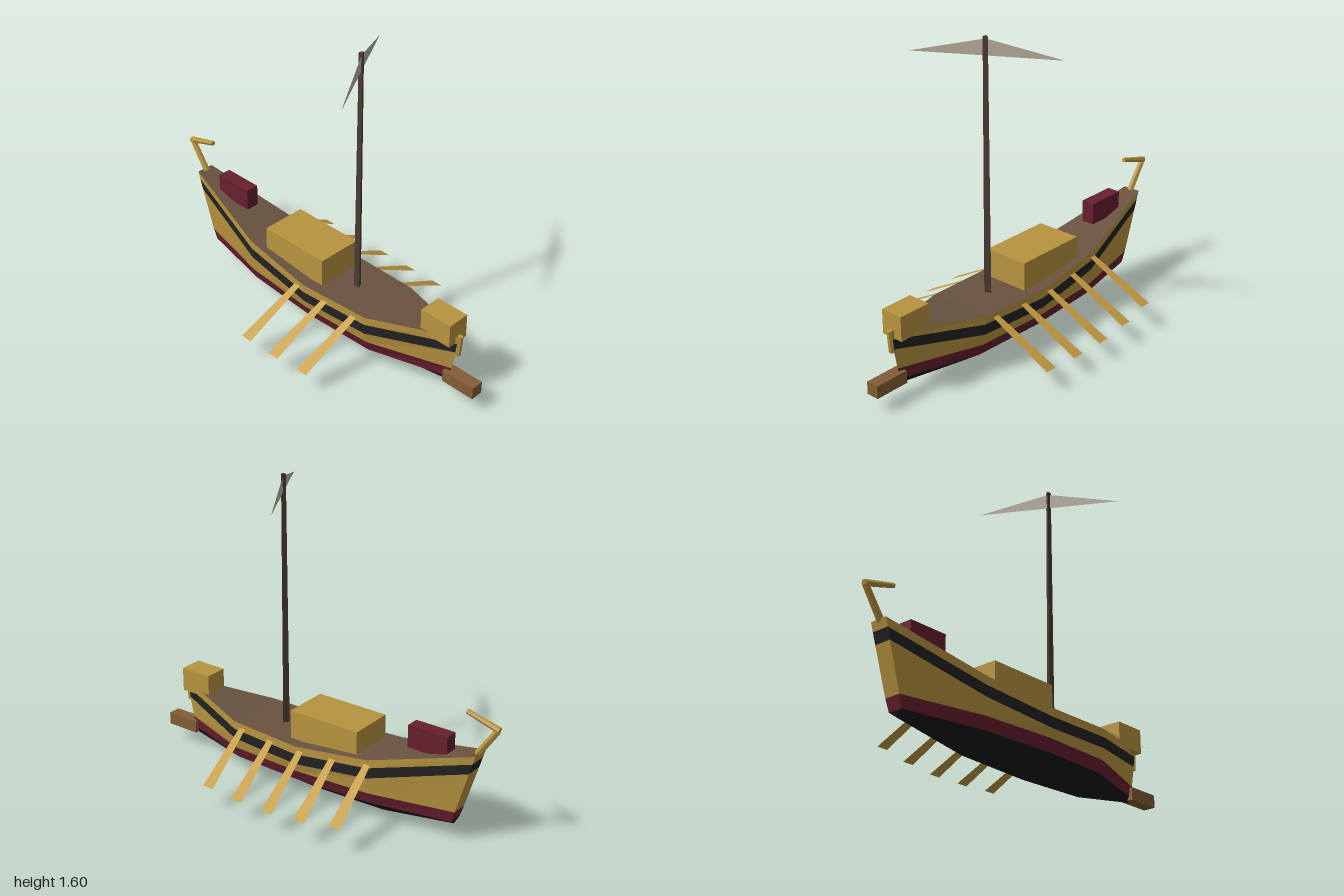
import * as THREE from 'three';

const mat = (name, color, side = THREE.FrontSide) => {
  const m = new THREE.MeshStandardMaterial({ color, flatShading: true, side });
  m.name = name;
  return m;
};

// Hull stations: x at keel, x at rail, keel height, rail height, half width
const STATIONS = [
  [-0.775, -0.9, 0.08, 0.49, 0.046],
  [-0.375, -0.375, 0.015, 0.35, 0.15],
  [0.03, 0.03, 0.003, 0.31, 0.181],
  [0.43, 0.43, 0.015, 0.322, 0.165],
  [0.83, 0.889, 0.08, 0.375, 0.009],
];

// Points of one station from keel to rail, on the +z side
function section([xk, xr, keel, rail, w]) {
  const ys = [keel, 0.107, 0.167, rail - 0.098, rail - 0.043, rail];
  const widths = [0, 0.8, 0.92, 0.985, 1, 1];
  return ys.map((y, i) => {
    const t = (y - keel) / (rail - keel);
    return [xk + (xr - xk) * t, y, w * widths[i]];
  });
}

const flip = ([x, y, z]) => [x, y, -z];
// Quad with corners counter-clockwise as seen from its front
const quad = (out, a, b, c, d) => out.push(...a, ...b, ...c, ...a, ...c, ...d);

function meshFrom(positions, material, name) {
  const g = new THREE.BufferGeometry();
  g.setAttribute('position', new THREE.Float32BufferAttribute(positions, 3));
  g.computeVertexNormals();
  const m = new THREE.Mesh(g, material);
  m.name = name;
  return m;
}

export function createModel() {
  const model = new THREE.Group();
  model.name = 'galley';
  const gold = mat('gold wood', 0xb8943f);
  const oarGold = mat('oar wood', 0xc49c42, THREE.DoubleSide);
  const maroon = mat('maroon paint', 0x671f2e);
  const black = mat('black bottom', 0x171717);
  const band = mat('dark band', 0x232323);
  const deckBrown = mat('deck brown', 0x69533f);
  const mastBrown = mat('mast brown', 0x4a3a36);
  const ramBrown = mat('ram brown', 0x835d36);
  const canvas = mat('canvas', 0xbab2a0, THREE.DoubleSide);

  // Hull, one mesh per colour strake, with a closed stern
  const rows = STATIONS.map(section);
  const strakes = [
    ['bottom', black], ['lowerStrake', maroon], ['side', gold],
    ['sideBand', band], ['rail', gold],
  ];
  strakes.forEach(([name, material], r) => {
    const p = [];
    for (let i = 0; i < rows.length - 1; i++) {
      const a = rows[i][r], b = rows[i + 1][r], c = rows[i + 1][r + 1], d = rows[i][r + 1];
      quad(p, a, b, c, d);
      quad(p, flip(b), flip(a), flip(d), flip(c));
    }
    const lo = rows[0][r], hi = rows[0][r + 1];
    quad(p, flip(lo), lo, hi, flip(hi));
    model.add(meshFrom(p, material, name));
  });

  // Deck across the rails
  const deck = [];
  for (let i = 0; i < rows.length - 1; i++) {
    const a = rows[i][5], b = rows[i + 1][5];
    quad(deck, a, b, flip(b), flip(a));
  }
  model.add(meshFrom(deck, deckBrown, 'deck'));

  // Deck houses, stern chest and ram
  const box = (name, material, x0, x1, y0, y1, halfZ) => {
    const m = new THREE.Mesh(new THREE.BoxGeometry(x1 - x0, y1 - y0, halfZ * 2), material);
    m.position.set((x0 + x1) / 2, (y0 + y1) / 2, 0);
    m.name = name;
    model.add(m);
  };
  box('cabin', gold, -0.295, 0.102, 0.3, 0.46, 0.12);
  box('bowHouse', gold, 0.69, 0.866, 0.335, 0.46, 0.06);
  box('sternChest', maroon, -0.742, -0.527, 0.42, 0.535, 0.035);
  box('ram', ramBrown, 0.815, 1.0, 0.087, 0.152, 0.033);

  // Round spars between two points
  const spar = (name, material, from, to, r0, r1, sides) => {
    const a = new THREE.Vector3(...from), b = new THREE.Vector3(...to);
    const dir = b.clone().sub(a);
    const m = new THREE.Mesh(new THREE.CylinderGeometry(r1, r0, dir.length(), sides), material);
    m.position.copy(a).add(b).multiplyScalar(0.5);
    m.quaternion.setFromUnitVectors(new THREE.Vector3(0, 1, 0), dir.normalize());
    m.name = name;
    model.add(m);
    return m;
  };
  spar('sternPost', gold, [-0.885, 0.485, 0], [-0.983, 0.628, 0], 0.018, 0.016, 6);
  spar('sternHook', gold, [-0.992, 0.631, 0], [-0.82, 0.68, 0], 0.016, 0.012, 6);
  spar('stemPost', gold, [0.872, 0.262, 0], [0.882, 0.377, 0], 0.014, 0.014, 6);
  spar('mast', mastBrown, [0.23, 0.3, 0], [0.23, 1.605, 0], 0.02, 0.014, 3).rotation.y = Math.PI;

  // Triangular sail at the masthead
  model.add(meshFrom([0.05, 1.513, -0.313, 0.41, 1.513, 0.313, 0.23, 1.593, 0], canvas, 'sail'));

  // Flat oars, widening to the blade: x, rail z, rail y, side
  const oar = (x, z, y, s) => {
    const p = [];
    quad(p, [x - 0.018, y, s * z], [x - 0.07, y - 0.183, s * (z + 0.312)],
      [x - 0.008, y - 0.183, s * (z + 0.312)], [x + 0.018, y, s * z]);
    model.add(meshFrom(p, oarGold, s > 0 ? 'leftOar' : 'rightOar'));
  };
  const oars = [[-0.38, 0.155, 0.33], [-0.193, 0.178, 0.31], [-0.006, 0.187, 0.297],
    [0.181, 0.185, 0.297], [0.368, 0.177, 0.303]];
  oars.forEach(([x, z, y], i) => {
    oar(x, z, y, -1);
    if (i > 1) oar(x, z, y, 1);
  });

  return model;
}
